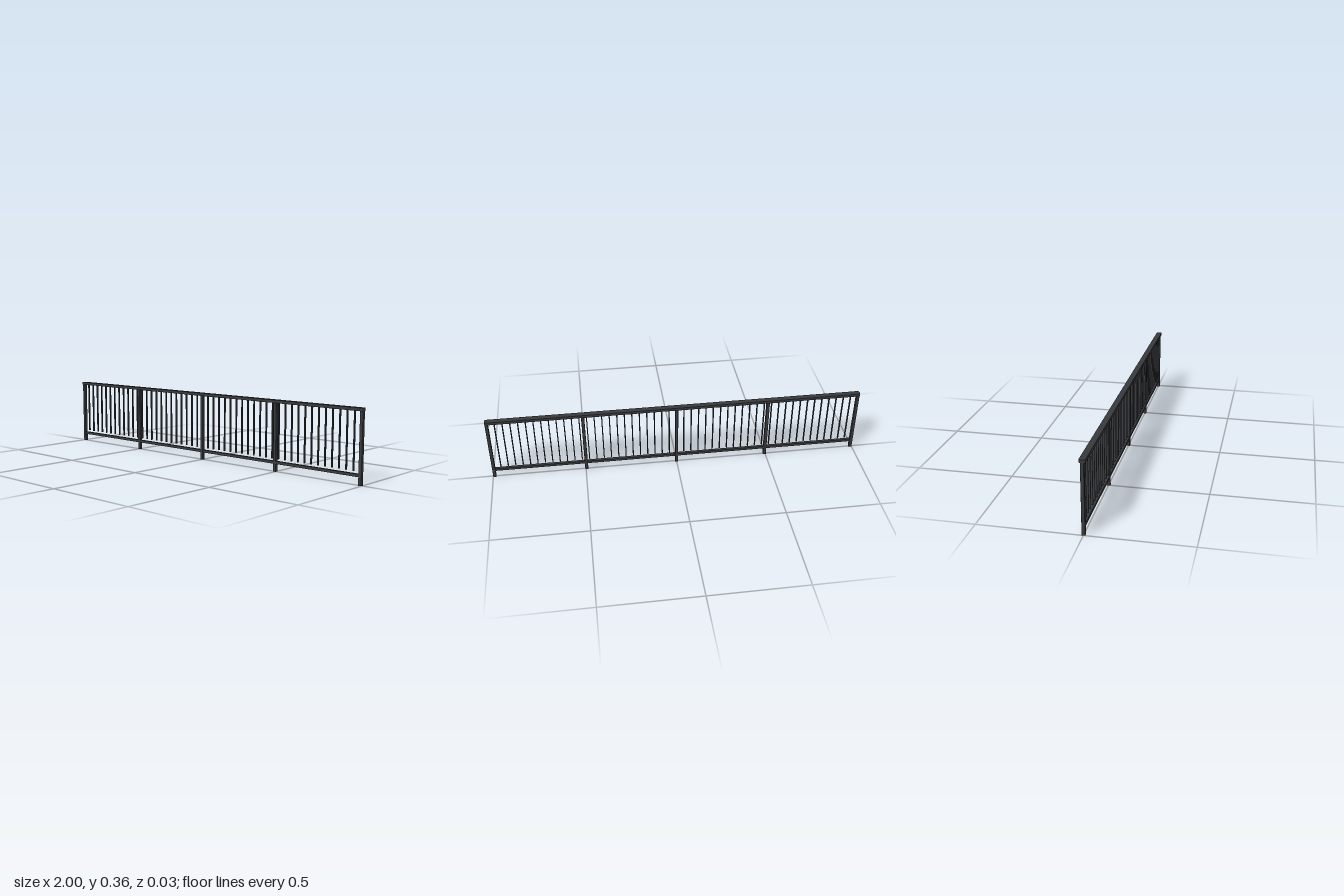
import * as THREE from 'three';

const material = new THREE.MeshStandardMaterial({ color: 0x38393c });

// Upright bar with rounded corners in plan, from y0 to y1
function roundedBar(width, depth, radius, y0, y1) {
  const w = width / 2, d = depth / 2, r = radius;
  const s = new THREE.Shape();
  s.absarc(w - r, d - r, r, 0, Math.PI / 2);
  s.absarc(-w + r, d - r, r, Math.PI / 2, Math.PI);
  s.absarc(-w + r, -d + r, r, Math.PI, Math.PI * 1.5);
  s.absarc(w - r, -d + r, r, Math.PI * 1.5, Math.PI * 2);
  const geometry = new THREE.ExtrudeGeometry(s, { depth: y1 - y0, bevelEnabled: false, curveSegments: 4 });
  return geometry.rotateX(-Math.PI / 2).translate(0, y0, 0);
}

export function createModel() {
  const model = new THREE.Group();
  model.name = 'railing';
  const add = (name, geometry, x = 0) => {
    const mesh = new THREE.Mesh(geometry, material);
    mesh.name = name;
    mesh.position.x = x;
    model.add(mesh);
  };

  const postWidth = 0.017;
  const endX = 1 - postWidth / 2;

  // Wide handrail with rounded ends
  add('topRail', roundedBar(2, 0.03, 0.007, 0.348, 0.363));

  // Narrow rail near the ground
  add('bottomRail', new THREE.BoxGeometry(endX * 2, 0.014, 0.015).translate(0, 0.047, 0));

  // Five evenly spaced posts
  const post = roundedBar(postWidth, postWidth, 0.002, 0, 0.348);
  for (let i = -2; i <= 2; i++) add('post', post, (i * endX) / 2);

  // Thin balusters hanging from the handrail, clear of the bottom rail
  const baluster = new THREE.BoxGeometry(0.0055, 0.283, 0.009).translate(0, 0.2065, 0);
  for (let i = -24; i <= 24; i++) {
    if (i !== 0) add('baluster', baluster, (i * endX) / 25);
  }
  return model;
}
